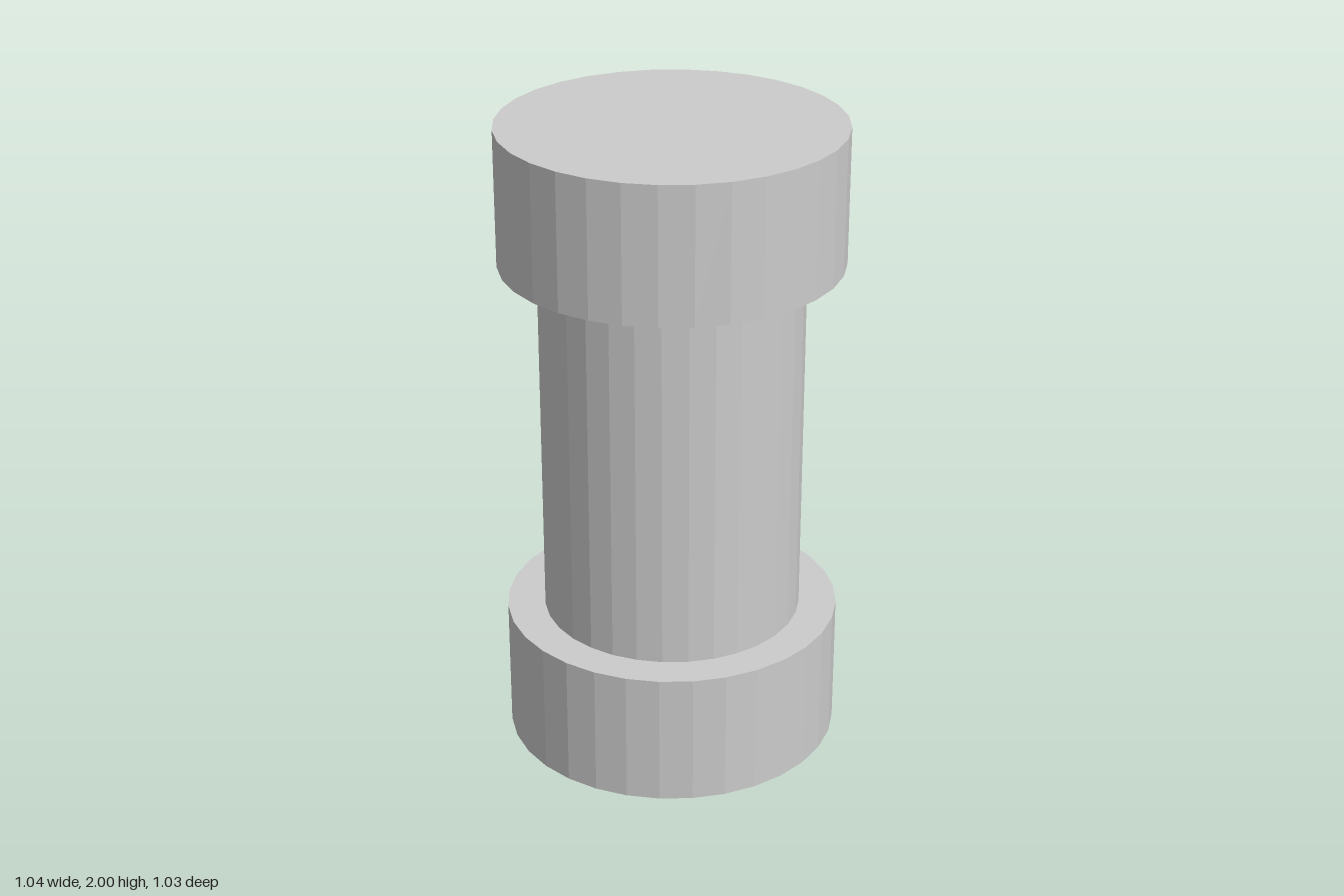
import * as THREE from 'three';

const SIDES = 32;

export function createModel() {
  const group = new THREE.Group();
  const material = new THREE.MeshStandardMaterial({ color: 0xcccccc, flatShading: true });

  // Upright faceted drum between two heights, slightly oval where rx and rz differ
  const addDrum = (name, rx, rz, y0, y1, open = false) => {
    const geometry = new THREE.CylinderGeometry(1, 1, y1 - y0, SIDES, 1, open);
    geometry.scale(rx, 1, rz);
    const mesh = new THREE.Mesh(geometry, material);
    mesh.name = name;
    mesh.position.y = (y0 + y1) / 2;
    group.add(mesh);
  };

  // Wide end blocks
  addDrum('bottomEnd', 0.522, 0.516, 0, 0.422);
  addDrum('topEnd', 0.522, 0.516, 1.578, 2);

  // Narrow shaft, its ends hidden against the blocks
  addDrum('shaft', 0.404, 0.404, 0.422, 1.578, true);

  return group;
}
